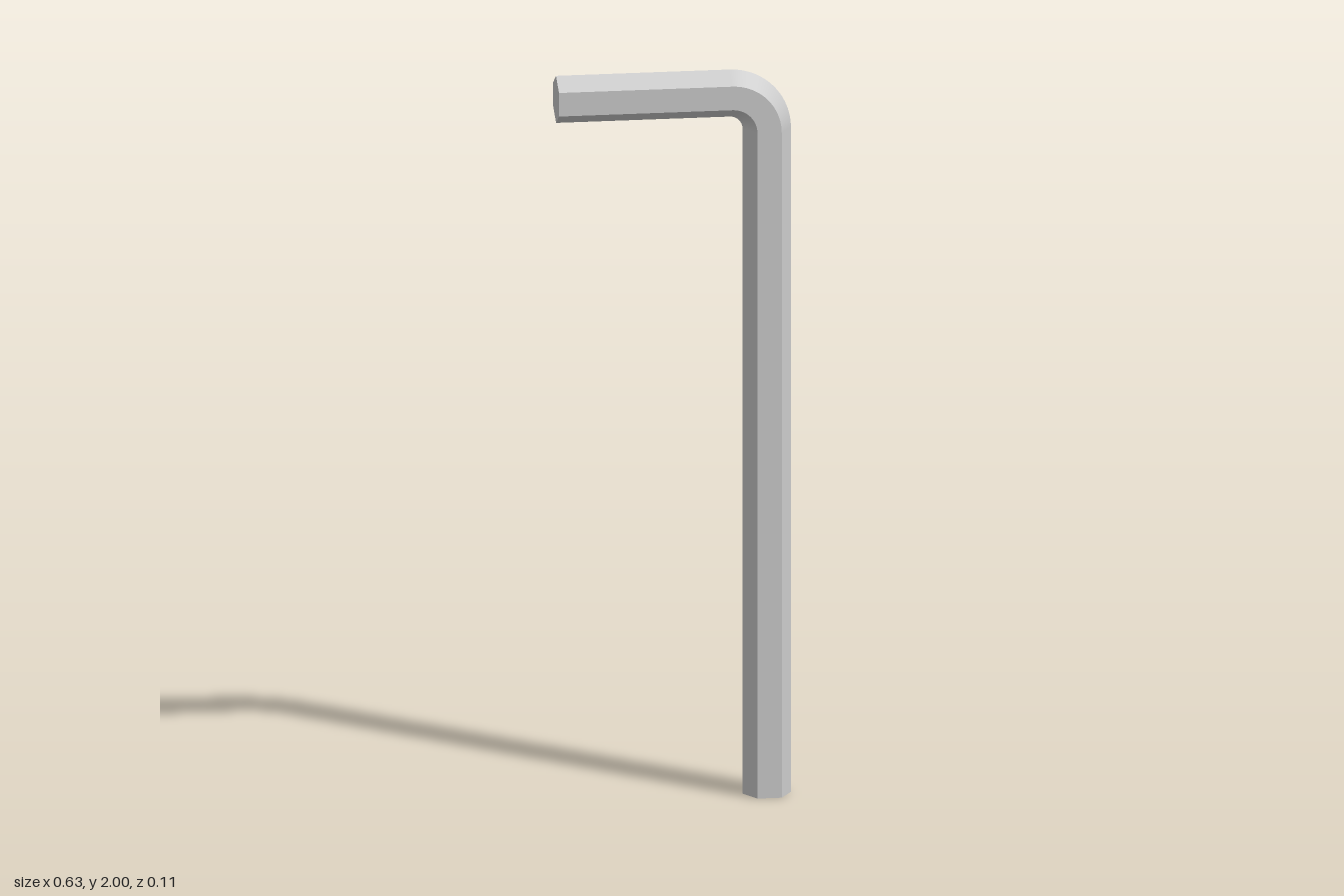
import * as THREE from 'three';

const R = 0.065;                         // corner radius of the hexagonal bar
const BEND = 0.1;                        // centreline radius of the bend
const CX = 0.151, CY = 1.835;            // centre of the bend
const STEPS = 24;

// Stations along the bar: centre point and outward angle in the xy plane
function stations() {
  const list = [{ x: CX + BEND, y: 0, a: 0 }];
  for (let i = 0; i <= STEPS; i++) {
    const a = (i / STEPS) * Math.PI / 2;
    list.push({ x: CX + BEND * Math.cos(a), y: CY + BEND * Math.sin(a), a });
  }
  list.push({ x: -0.316, y: CY + BEND, a: Math.PI / 2 });
  return list;
}

function hexBarGeometry() {
  const rings = stations();
  const pos = [], nor = [], idx = [];
  const dir = (s, p) => [Math.cos(s.a) * Math.cos(p), Math.sin(s.a) * Math.cos(p), Math.sin(p)];
  const corner = (s, k) => {
    const d = dir(s, k * Math.PI / 3);
    return [s.x + R * d[0], s.y + R * d[1], R * d[2]];
  };

  // Six long facets, smooth along the bend and sharp between each other
  for (let k = 0; k < 6; k++) {
    const base = pos.length / 3;
    rings.forEach((s, i) => {
      const n = dir(s, (k + 0.5) * Math.PI / 3);
      pos.push(...corner(s, k), ...corner(s, k + 1));
      nor.push(...n, ...n);
      if (i > 0) {
        const b = base + 2 * i;
        idx.push(b - 2, b, b - 1, b, b + 1, b - 1);
      }
    });
  }

  // Flat hexagonal ends
  const cap = (s, n, flip) => {
    const base = pos.length / 3;
    for (let k = 0; k < 6; k++) {
      pos.push(...corner(s, k));
      nor.push(...n);
    }
    for (let k = 1; k < 5; k++) {
      idx.push(base, base + k + (flip ? 1 : 0), base + k + (flip ? 0 : 1));
    }
  };
  cap(rings[0], [0, -1, 0], false);
  cap(rings[rings.length - 1], [-1, 0, 0], true);

  const g = new THREE.BufferGeometry();
  g.setAttribute('position', new THREE.Float32BufferAttribute(pos, 3));
  g.setAttribute('normal', new THREE.Float32BufferAttribute(nor, 3));
  g.setIndex(idx);
  return g;
}

export function createModel() {
  const group = new THREE.Group();
  group.name = 'hexKey';
  const bar = new THREE.Mesh(hexBarGeometry(), new THREE.MeshStandardMaterial({ color: 0xcccccc }));
  bar.name = 'bentHexBar';
  group.add(bar);
  return group;
}
